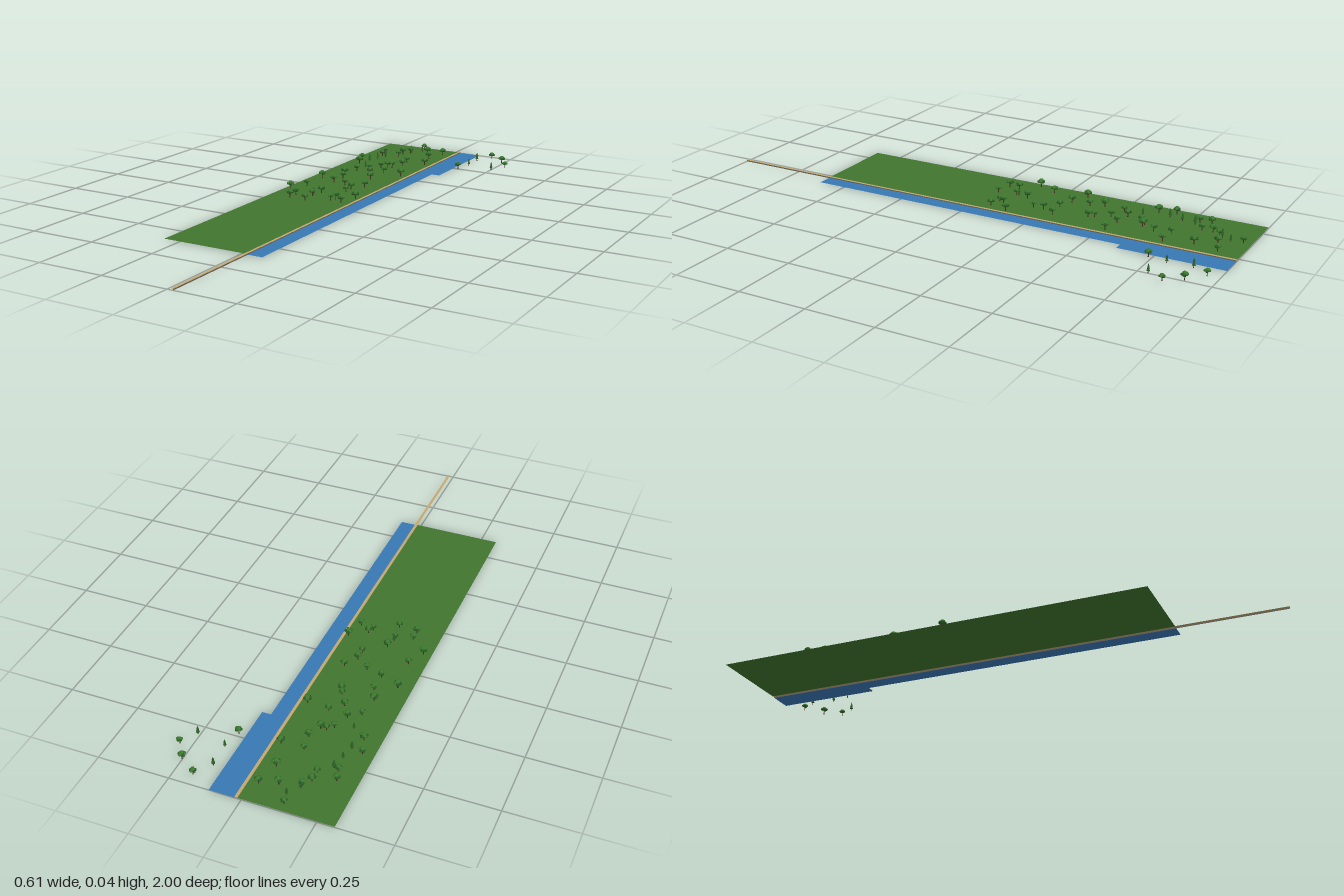
import * as THREE from 'three';

const mat = (name, color, side = THREE.FrontSide) => {
  const m = new THREE.MeshStandardMaterial({ color, side });
  m.name = name;
  return m;
};

export function createModel() {
  const root = new THREE.Group();
  root.name = 'riversidePark';
  const grass = mat('grass', 0x41752f, THREE.DoubleSide);
  const water = mat('water', 0x3878b4, THREE.DoubleSide);
  const sand = mat('sand', 0xc4a86c, THREE.DoubleSide);
  const stone = mat('stone', 0x6a655c, THREE.DoubleSide);
  const bark = mat('bark', 0x4a2e1c);
  const leafDark = mat('darkLeaves', 0x2a5c24);
  const leafLight = mat('lightLeaves', 0x3c7a30);

  const sheet = (name, x0, x1, z0, z1, y, m) => {
    const g = new THREE.PlaneGeometry(x1 - x0, z1 - z0).rotateX(-Math.PI / 2);
    const s = new THREE.Mesh(g, m);
    s.name = name;
    s.position.set((x0 + x1) / 2, y, (z0 + z1) / 2);
    root.add(s);
  };

  // Flat land, river and path
  sheet('lawn', -0.309, 0.013, -1, 0.606, 0.003, grass);
  sheet('river', 0.023, 0.079, -1, 0.606, 0.001, water);
  sheet('riverBasin', 0.079, 0.111, -1, -0.616, 0.001, water);
  sheet('path', 0.013, 0.023, -1, 1, 0.0045, sand);

  // Low quay wall between path and river
  const wall = new THREE.Mesh(new THREE.PlaneGeometry(2, 0.0045).rotateY(Math.PI / 2), stone);
  wall.name = 'quayWall';
  wall.position.set(0.023, 0.00225, 0);
  root.add(wall);

  // Shared tree geometries
  const trunkGeo = new THREE.CylinderGeometry(0.001, 0.0018, 0.014, 6).translate(0, 0.007, 0);
  const branchGeo = new THREE.CylinderGeometry(0.0005, 0.0008, 0.009, 5).translate(0, 0.0045, 0);
  const blobGeo = new THREE.IcosahedronGeometry(1, 1);
  const coneGeo = new THREE.ConeGeometry(1, 1, 7);
  const part = (group, name, geo, m, p, s = [1, 1, 1]) => {
    const o = new THREE.Mesh(geo, m);
    o.name = name;
    o.position.set(...p);
    o.scale.set(...s);
    group.add(o);
    return o;
  };

  // Spreading tree: forked trunk under a ring of leaf clumps
  function broadTree() {
    const t = new THREE.Group();
    t.name = 'broadTree';
    part(t, 'trunk', trunkGeo, bark, [0, 0, 0]);
    for (const s of [-1, 1])
      part(t, 'branch', branchGeo, bark, [0, 0.008, 0]).rotation.z = s * 0.6;
    for (let i = 0; i < 5; i++) {
      const a = i * Math.PI * 0.4;
      part(t, 'leafClump', blobGeo, i % 2 ? leafLight : leafDark,
        [Math.cos(a) * 0.007, 0.018 + (i % 2) * 0.002, Math.sin(a) * 0.007], [0.0055, 0.0045, 0.0055]);
    }
    part(t, 'crownTop', blobGeo, leafLight, [0, 0.0225, 0], [0.0075, 0.0055, 0.0075]);
    return t;
  }

  // Slender tree: stacked cones
  function slimTree() {
    const t = new THREE.Group();
    t.name = 'slimTree';
    part(t, 'trunk', trunkGeo, bark, [0, 0, 0], [0.8, 0.8, 0.8]);
    for (let i = 0; i < 3; i++)
      part(t, 'needleTier', coneGeo, leafDark, [0, 0.013 + i * 0.006, 0],
        [0.0055 - i * 0.001, 0.011, 0.0055 - i * 0.001]);
    return t;
  }

  // Tree positions as x, z in hundredths
  const broad = [
    [-13, -97], [-2, -92], [-8, -90], [-15, -88], [-17, -85], [-17, -81], [-24, -82], [-4, -83],
    [-23, -78], [-1, -73], [-9, -73], [-27, -68], [-25, -62], [-12, -62], [-10, -62], [-14, -60],
    [-8, -67], [-1, -52], [-9, -53], [-16, -54], [-20, -51], [-13, -49], [-21, -43], [-19, -38],
    [-19, -31], [-10, -44], [-9, -42], [-26, -34], [-13, -29], [-8, -25], [-8, -21], [-5, -30],
    [-28, -14], [-25, -21], [-15, -15], [-16, -10], [-22, -8], [-22, -4], [-15, -3], [-6, -10],
    [-7, -8], [-2, -7], [0, -14],
    [18.5, -96], [25, -91], [29, -85], [13.5, -74],
  ];
  const slim = [
    [-12, -93], [-15, -89], [-21, -77], [-22, -72], [-23, -67], [-20, -58], [-16, -11],
    [14.5, -90], [15, -81], [25.6, -79],
  ];
  const plant = (list, make) => list.forEach(([x, z], i) => {
    const t = make();
    t.position.set(x / 100, 0.0035, z / 100);
    t.rotation.y = i * 2.4;
    t.scale.setScalar(0.95 + ((i * 7) % 5) * 0.06);
    root.add(t);
  });
  plant(broad, broadTree);
  plant(slim, slimTree);
  return root;
}
